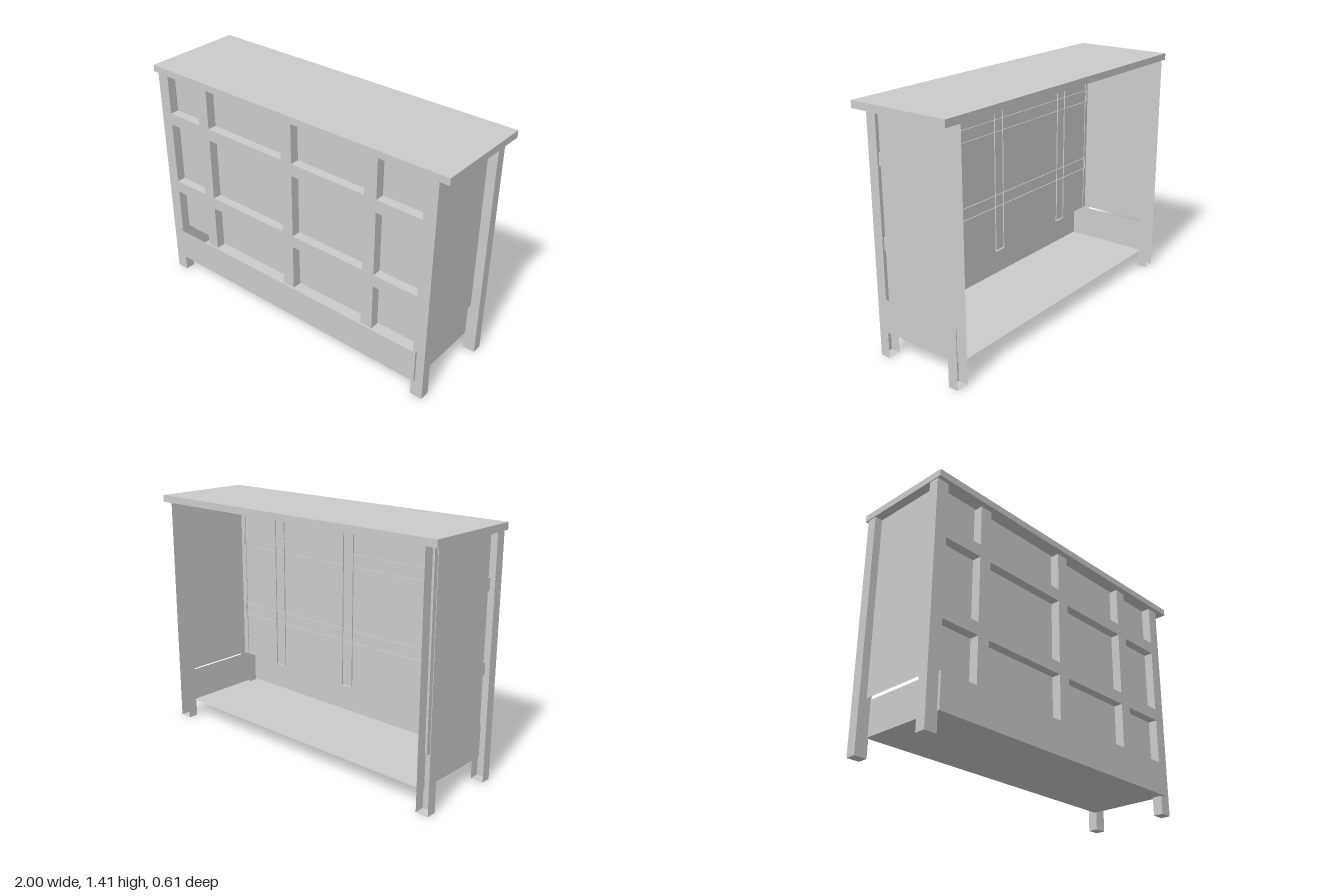
import * as THREE from 'three';

const material = new THREE.MeshStandardMaterial({ color: 0xcccccc, side: THREE.DoubleSide, flatShading: true });
const SIDES = ['right', 'left', 'top', 'bottom', 'front', 'back'];

// Box between limits on each axis, with the listed sides left open
function shell(name, [x0, x1], [y0, y1], [z0, z1], open = []) {
  const geometry = new THREE.BoxGeometry(x1 - x0, y1 - y0, z1 - z0);
  const all = Array.from(geometry.index.array);
  geometry.setIndex(all.filter((_, i) => !open.includes(SIDES[Math.floor(i / 6)])));
  geometry.clearGroups();
  geometry.translate((x0 + x1) / 2, (y0 + y1) / 2, (z0 + z1) / 2);
  const mesh = new THREE.Mesh(geometry, material);
  mesh.name = name;
  return mesh;
}

export function createModel() {
  const cabinet = new THREE.Group();
  cabinet.name = 'sideboard';

  // Overhanging top slab
  cabinet.add(shell('top', [-1, 1], [1.375, 1.415], [-0.305, 0.305]));

  // Corner posts, hollow and open at the back
  const posts = [
    ['frontRightPost', [-0.995, -0.92], [0.22, 0.28]],
    ['frontLeftPost', [0.855, 0.93], [0.22, 0.28]],
    ['backRightPost', [-0.995, -0.92], [-0.285, -0.225]],
    ['backLeftPost', [0.875, 0.95], [-0.285, -0.225]],
  ];
  for (const [name, x, z] of posts) cabinet.add(shell(name, x, [0, 1.375], z, ['back']));

  // Recessed front panel and side panels, open at the back
  cabinet.add(shell('bodyPanels', [-0.95, 0.895], [0.31, 1.375], [-0.25, 0.225], ['back', 'top', 'bottom']));

  // Plinth tray: skirt boards and floor
  cabinet.add(shell('plinth', [-0.925, 0.88], [0.11, 0.31], [-0.24, 0.295], ['back', 'top']));

  // Horizontal rails
  for (const y of [0.59, 1.05]) {
    cabinet.add(shell('rail', [-0.93, 0.865], [y, y + 0.073], [0.218, 0.28], ['back']));
  }

  // Vertical stiles
  for (const x of [-0.68, -0.055, 0.505]) {
    cabinet.add(shell('stile', [x, x + 0.075], [0.305, 1.365], [0.218, 0.28], ['back']));
  }

  return cabinet;
}
